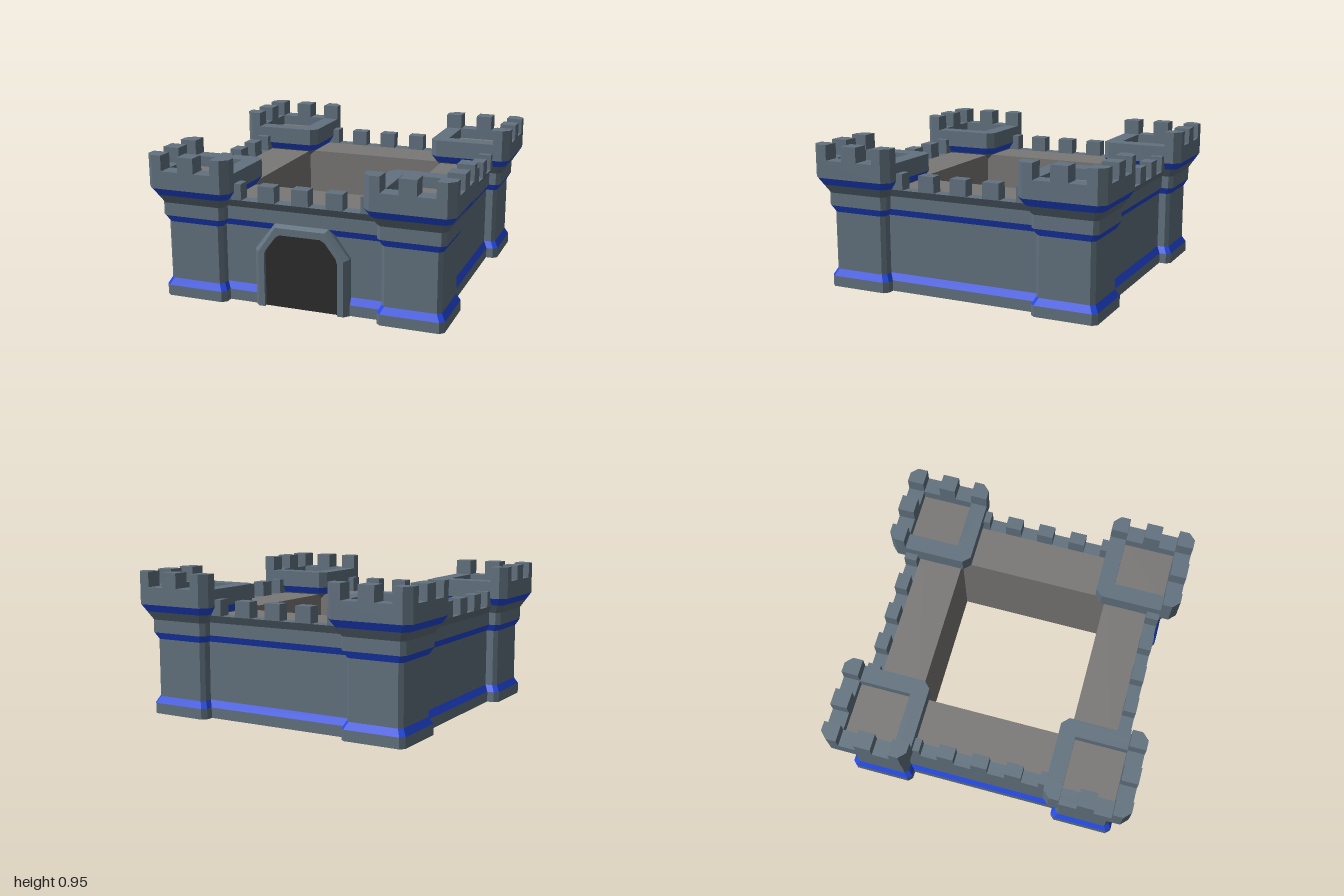
import * as THREE from 'three';

const mat = (name, color) => {
  const m = new THREE.MeshStandardMaterial({ color, flatShading: true, side: THREE.DoubleSide });
  m.name = name;
  return m;
};

// Flat-faced skin between successive rows of [x, y, z] points
function loft(rows, closed) {
  const pos = [];
  for (let r = 0; r < rows.length - 1; r++) {
    const lo = rows[r], hi = rows[r + 1], n = lo.length;
    for (let i = 0; i < (closed ? n : n - 1); i++) {
      const j = (i + 1) % n;
      pos.push(...lo[i], ...lo[j], ...hi[j], ...lo[i], ...hi[j], ...hi[i]);
    }
  }
  const g = new THREE.BufferGeometry();
  g.setAttribute('position', new THREE.Float32BufferAttribute(pos, 3));
  g.computeVertexNormals();
  return g;
}

// Square with chamfered corners, as [x, z] points
function octagon(h, c) {
  const k = h - c;
  return [[-k, h], [k, h], [h, k], [h, -k], [k, -h], [-k, -h], [-h, -k], [-h, k]];
}

const toShape = pts => new THREE.Shape(pts.map(([x, y]) => new THREE.Vector2(x, y)));
const square = h => [[-h, -h], [h, -h], [h, h], [-h, h]];

// Horizontal slab from an [x, z] outline
function slab(pts, y0, y1, hole) {
  const flip = a => a.map(([x, z]) => [x, -z]);
  const s = toShape(flip(pts));
  if (hole) s.holes.push(toShape(flip(hole)));
  const g = new THREE.ExtrudeGeometry(s, { depth: y1 - y0, bevelEnabled: false });
  return g.rotateX(-Math.PI / 2).translate(0, y0, 0);
}

export function createModel() {
  const stone = mat('stone', 0x62727f);
  const blue = mat('blue trim', 0x2349e0);
  const floorMat = mat('grey floor', 0x7a7876);
  const dark = mat('dark doorway', 0x2c2c2c);

  const add = (parent, name, geo, m) => {
    const mesh = new THREE.Mesh(geo, m);
    mesh.name = name;
    parent.add(mesh);
    return mesh;
  };
  const box = (w, h, d, x, y, z) => new THREE.BoxGeometry(w, h, d).translate(x, y, z);

  // Corner tower, its outer sides facing +x and +z
  function tower() {
    const g = new THREE.Group();
    g.name = 'tower';
    // height, half width, chamfer, colour of the band above
    const bands = [
      [0, 0.215, 0.028, stone], [0.07, 0.215, 0.028, blue], [0.115, 0.19, 0.025, stone],
      [0.5, 0.19, 0.025, blue], [0.545, 0.215, 0.028, stone], [0.63, 0.215, 0.028, stone],
      [0.687, 0.25, 0.037, blue], [0.735, 0.28, 0.045],
    ];
    const ring = ([y, h, c]) => octagon(h, c).map(([x, z]) => [x, y, z]);
    for (let i = 0; i < bands.length - 1; i++) {
      add(g, bands[i][3] === blue ? 'towerTrim' : 'towerWall',
        loft([ring(bands[i]), ring(bands[i + 1])], true), bands[i][3]);
    }
    add(g, 'towerParapet', slab(octagon(0.28, 0.045), 0.735, 0.85, square(0.17)), stone);
    add(g, 'towerFloor', box(0.34, 0.01, 0.34, 0, 0.775, 0), floorMat);

    // Merlons on the two outer sides: three chamfered corners and two blocks
    const o = 0.28, i = 0.17, k = 0.235;
    for (const [sx, sz] of [[1, 1], [-1, 1], [1, -1]]) {
      const corner = [[i, i], [o, i], [o, k], [k, o], [i, o]].map(([x, z]) => [x * sx, z * sz]);
      add(g, 'towerMerlon', slab(corner, 0.85, 0.95), stone);
    }
    add(g, 'towerMerlon', box(0.11, 0.1, 0.11, 0, 0.9, 0.225), stone);
    add(g, 'towerMerlon', box(0.11, 0.1, 0.11, 0.225, 0.9, 0), stone);
    g.position.set(0.72, 0, 0.72);
    return g;
  }

  // Curtain wall on the +z side
  function wall() {
    const g = new THREE.Group();
    g.name = 'curtainWall';
    const L = 0.56;
    const bands = [
      [0, 0.86, stone], [0.07, 0.86, blue], [0.115, 0.835, stone], [0.5, 0.835, blue],
      [0.545, 0.86, stone], [0.63, 0.86, stone], [0.68, 0.89, stone], [0.68, 0.805, floorMat],
      [0.68, 0.51],
    ];
    const names = new Map([[stone, 'wallFace'], [blue, 'wallTrim'], [floorMat, 'walkway']]);
    const row = ([y, z]) => [[-L, y, z], [L, y, z]];
    for (let i = 0; i < bands.length - 1; i++) {
      const m = bands[i][2];
      add(g, names.get(m), loft([row(bands[i]), row(bands[i + 1])], false), m);
    }
    const inner = [[[-0.51, 0.68, 0.51], [0.51, 0.68, 0.51]], [[-0.51, 0, 0.51], [0.51, 0, 0.51]]];
    add(g, 'courtyardWall', loft(inner, false), floorMat);
    for (let i = -2; i <= 2; i++) {
      add(g, 'wallMerlon', box(0.11, 0.105, 0.085, i * 0.225, 0.7325, 0.8475), stone);
    }
    return g;
  }

  // Gate: bevelled stone surround and dark opening
  function gate() {
    const g = new THREE.Group();
    g.name = 'gate';
    const mirror = half => [...half, ...half.slice().reverse().map(([x, y]) => [-x, y])];
    const outer = mirror([[0.315, 0], [0.315, 0.37], [0.18, 0.548]]);
    const front = mirror([[0.285, 0], [0.285, 0.36], [0.165, 0.53]]);
    const opening = mirror([[0.245, 0], [0.245, 0.345], [0.235, 0.375], [0.165, 0.467], [0.135, 0.485]]);
    const at = (pts, z) => pts.map(([x, y]) => [x, y, z]);
    add(g, 'gateSurroundSide', loft([at(outer, 0.82), at(outer, 0.865), at(front, 0.897)], false), stone);
    const face = toShape([...front, ...opening.slice().reverse()]);
    add(g, 'gateSurroundFace', new THREE.ShapeGeometry(face).translate(0, 0, 0.897), stone);
    add(g, 'gateReveal', loft([at(opening, 0.897), at(opening, 0.872)], false), stone);
    add(g, 'gateOpening', new THREE.ShapeGeometry(toShape(opening)).translate(0, 0, 0.872), dark);
    return g;
  }

  const castle = new THREE.Group();
  castle.name = 'castle';
  for (let i = 0; i < 4; i++) {
    const side = new THREE.Group();
    side.name = 'castleSide';
    side.add(tower(), wall());
    side.rotation.y = i * Math.PI / 2;
    castle.add(side);
  }
  castle.add(gate());
  return castle;
}
